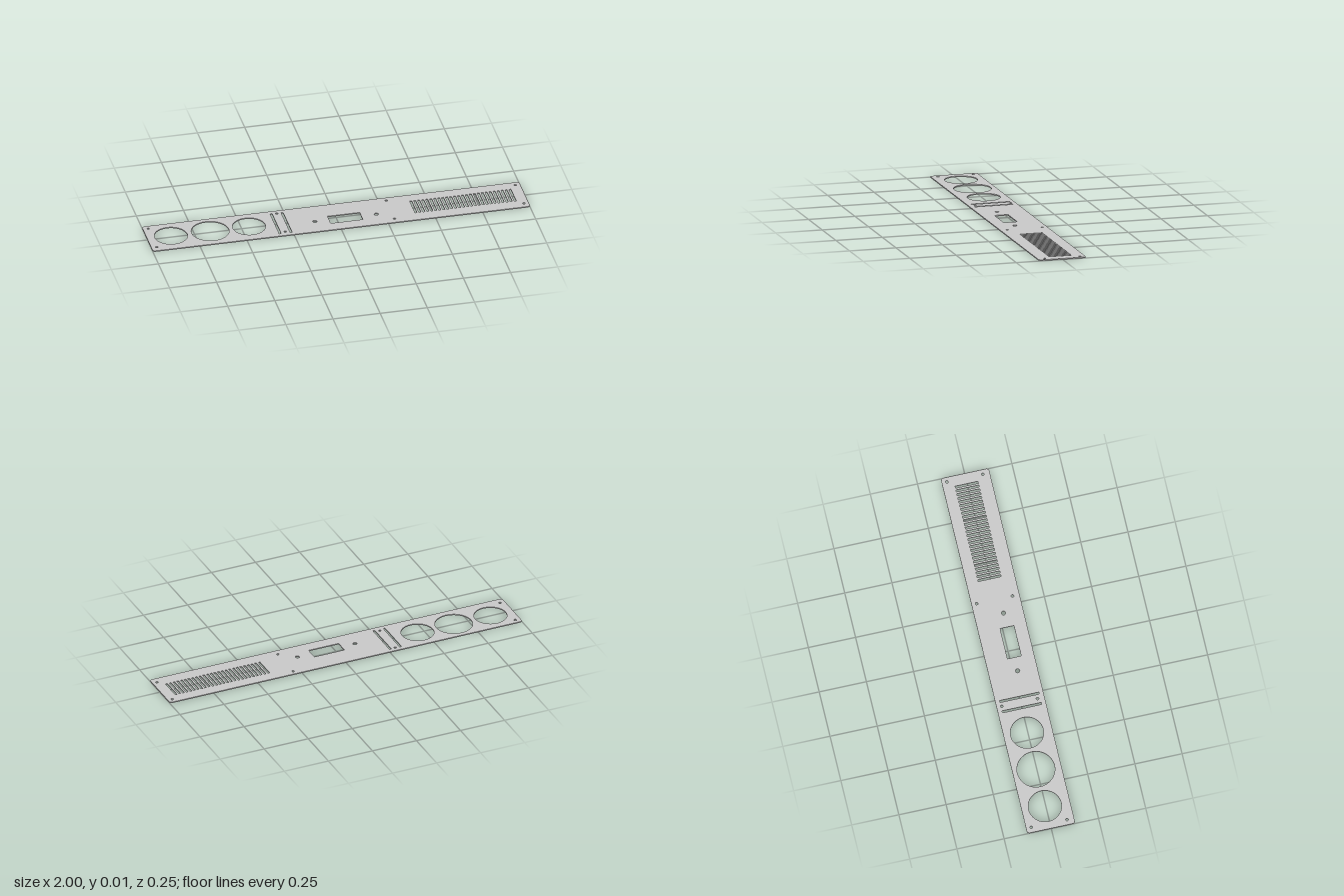
import * as THREE from 'three';

const THICKNESS = 0.006;

// Rounded rectangle outline, centred on (x, z); the shape's y is -z
function roundedRect(path, x, z, w, d, r) {
  const cx = [x + w / 2 - r, x - w / 2 + r];
  const cy = [-z + d / 2 - r, -z - d / 2 + r];
  path.moveTo(cx[0] + r, cy[1]);
  path.absarc(cx[0], cy[0], r, 0, Math.PI / 2);
  path.absarc(cx[1], cy[0], r, Math.PI / 2, Math.PI);
  path.absarc(cx[1], cy[1], r, Math.PI, Math.PI * 1.5);
  path.absarc(cx[0], cy[1], r, Math.PI * 1.5, Math.PI * 2);
  path.closePath();
  return path;
}

function rectHole(x, z, w, d) {
  const y = -z;
  return new THREE.Path([
    new THREE.Vector2(x - w / 2, y - d / 2),
    new THREE.Vector2(x - w / 2, y + d / 2),
    new THREE.Vector2(x + w / 2, y + d / 2),
    new THREE.Vector2(x + w / 2, y - d / 2),
  ]);
}

function roundHole(x, z, r) {
  return new THREE.Path().absarc(x, -z, r, 0, Math.PI * 2, true);
}

export function createModel() {
  const group = new THREE.Group();
  group.name = 'instrumentPanel';

  const plate = roundedRect(new THREE.Shape(), 0, 0, 2, 0.254, 0.014);
  const holes = plate.holes;

  // Three gauge openings
  for (const [x, r] of [[-0.874, 0.086], [-0.666, 0.098], [-0.46, 0.086]]) {
    holes.push(roundHole(x, -0.005, r));
  }

  // Pair of long narrow slots
  for (const x of [-0.32, -0.262]) holes.push(rectHole(x, 0, 0.011, 0.208));

  // Display window with a hole on each side
  holes.push(rectHole(0.043, 0.024, 0.171, 0.073));
  for (const x of [-0.118, 0.208]) holes.push(roundHole(x, 0.024, 0.011));

  // Mounting screw holes along both long edges
  for (const x of [-0.972, -0.29, 0.289, 0.975]) {
    for (const z of [-0.1, 0.09]) holes.push(roundHole(x, z, 0.007));
  }

  // Ventilation slots
  const slots = 26, first = 0.411, last = 0.937;
  for (let i = 0; i < slots; i++) {
    const x = first + ((last - first) * i) / (slots - 1);
    holes.push(rectHole(x, -0.004, 0.011, 0.121));
  }

  const geometry = new THREE.ExtrudeGeometry(plate, {
    depth: THICKNESS, bevelEnabled: false, curveSegments: 24,
  });
  geometry.rotateX(-Math.PI / 2);
  const mesh = new THREE.Mesh(geometry, new THREE.MeshStandardMaterial({ color: 0xcccccc }));
  mesh.name = 'panelPlate';
  group.add(mesh);
  return group;
}
